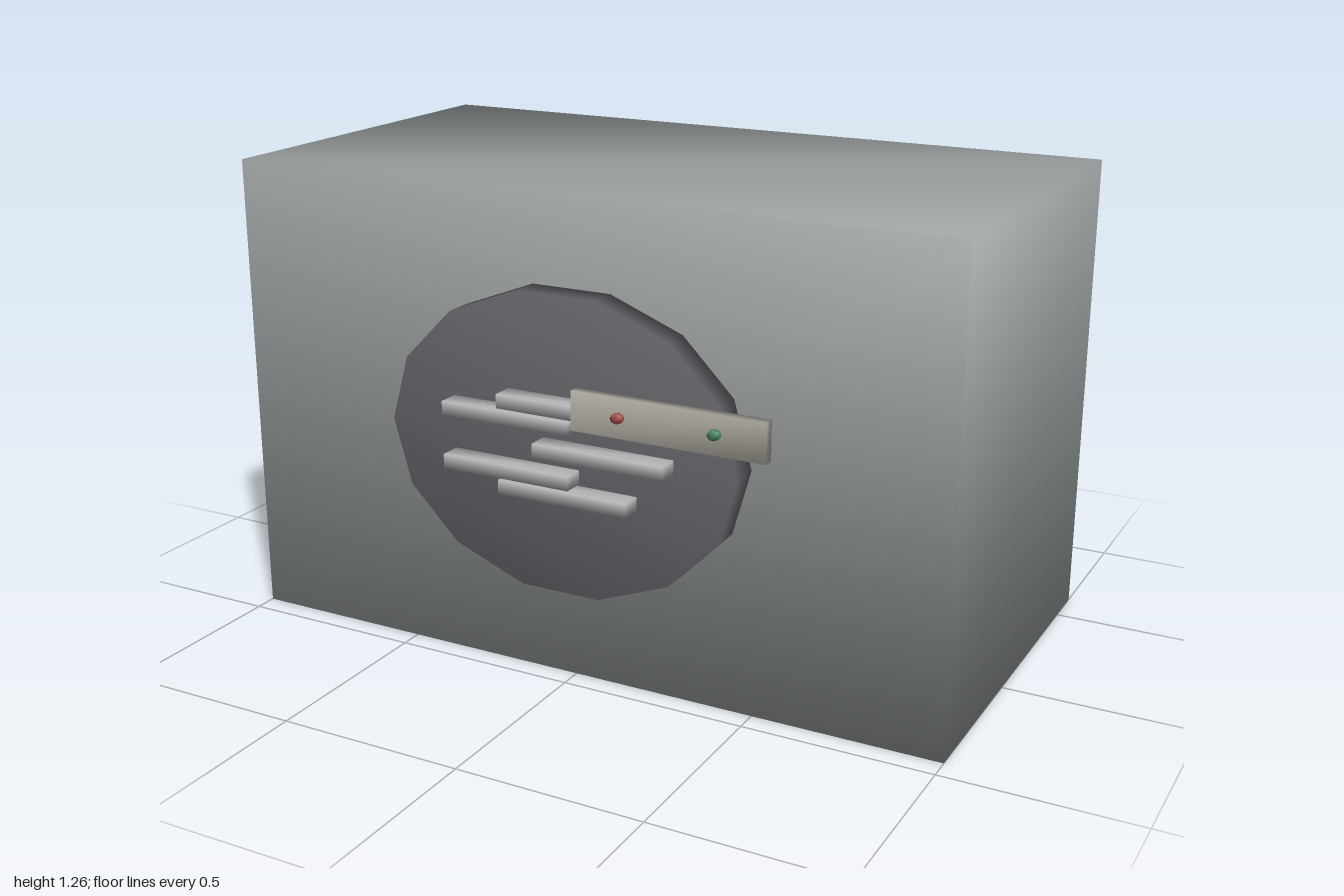
import * as THREE from 'three';
import { mergeVertices } from 'three/addons/utils/BufferGeometryUtils.js';

// Shares corners between faces so the shading runs smoothly across edges
function soften(geometry) {
  geometry.deleteAttribute('normal');
  geometry.deleteAttribute('uv');
  const merged = mergeVertices(geometry, 1e-4);
  merged.computeVertexNormals();
  return merged;
}

export function createModel() {
  const group = new THREE.Group();
  const material = (color) => new THREE.MeshStandardMaterial({ color });

  function add(name, geometry, mat, x, y, z) {
    const mesh = new THREE.Mesh(soften(geometry), mat);
    mesh.name = name;
    mesh.position.set(x, y, z);
    group.add(mesh);
    return mesh;
  }

  // Disc with its axis along z and a corner on +x
  function disc(radius, depth, sides) {
    return new THREE.CylinderGeometry(radius, radius, depth, sides, 1, false, Math.PI / 2)
      .rotateX(Math.PI / 2);
  }

  const bodyMat = material(0xa3a8a8);
  const discMat = material(0x66666c);
  const slatMat = material(0xb4b6b8);
  const plateMat = material(0xb4b0a6);

  // Main block
  add('body', new THREE.BoxGeometry(2, 1.26, 1.055), bodyMat, 0, 0.63, -0.0875);

  // Oval fourteen-sided front panel
  add('frontDisc', disc(1, 0.075, 14).scale(0.49, 0.395, 1), discMat, 0, 0.645, 0.4775);

  // Staggered slats: centre x, centre y
  const slats = [[0.04, 0.76], [-0.12, 0.718], [0.14, 0.648], [-0.12, 0.578], [0.04, 0.537]];
  slats.forEach(([x, y], i) => {
    add(`slat${i + 1}`, new THREE.BoxGeometry(0.36, 0.036, 0.058), slatMat, x, y, 0.543);
  });

  // Control plate with two buttons
  add('controlPlate', new THREE.BoxGeometry(0.51, 0.1, 0.027), plateMat, 0.345, 0.78, 0.588);
  add('redButton', disc(0.016, 0.016, 8).scale(1, 0.8, 1), material(0xa85050), 0.22, 0.783, 0.608);
  add('greenButton', disc(0.016, 0.016, 8).scale(1, 0.8, 1), material(0x4f8a68), 0.472, 0.783, 0.608);

  return group;
}
